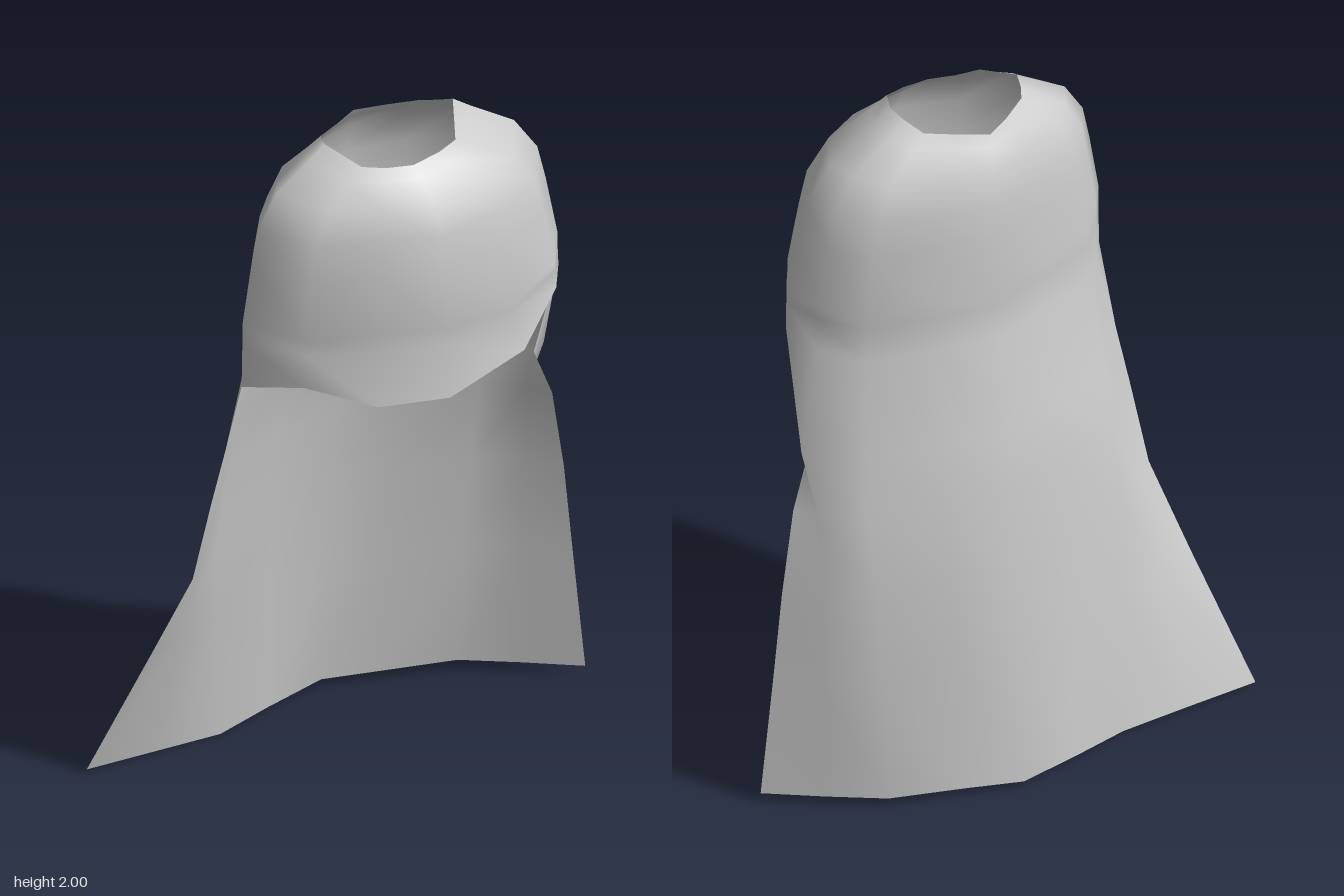
import * as THREE from 'three';

const COLS = 14; // columns run from the front centre, round by +x, to the back and home again

// neck opening: [x, z, y] per column
const neck = [
  [0.02, 0.21, 1.93], [0.10, 0.20, 1.94], [0.16, 0.18, 1.95], [0.21, 0.07, 2.0],
  [0.19, 0.03, 1.98], [0.16, -0.02, 1.96], [0.08, -0.055, 1.95], [0, -0.085, 1.94],
  [-0.07, -0.045, 1.94], [-0.14, 0, 1.95], [-0.155, 0.03, 1.96], [-0.165, 0.07, 1.97],
  [-0.11, 0.17, 1.94], [-0.05, 0.19, 1.93],
];
// lower edge of the shoulder mantle: [x, z, y] per column
const hem = [
  [0.05, 0.36, 1.29], [0.30, 0.30, 1.33], [0.44, 0.21, 1.43], [0.52, 0.07, 1.40],
  [0.47, -0.01, 1.36], [0.38, -0.11, 1.35], [0.20, -0.15, 1.35], [0.03, -0.18, 1.35],
  [-0.14, -0.13, 1.35], [-0.30, -0.07, 1.34], [-0.375, 0.02, 1.32], [-0.42, 0.09, 1.31],
  [-0.315, 0.24, 1.36], [-0.13, 0.30, 1.28],
];
// mantle profile: [how far from neck to hem outline, height]
const profile = [[0, 1.95], [0.18, 1.92], [0.58, 1.86], [0.8, 1.77], [0.88, 1.67], [0.99, 1.5]];

// cape cross-sections from the +x edge round the back to the -x edge
const FIRST = 3, LAST = 11;
const capeRows = [
  { y: 1.08, x: [0.50, 0.545, 0.41, 0.21, 0.04, -0.16, -0.31, -0.375, -0.43],
    z: [-0.03, -0.06, -0.17, -0.21, -0.25, -0.19, -0.13, -0.05, 0.02] },
  { y: 0.91, x: [0.575, 0.53, 0.43, 0.22, 0.045, -0.16, -0.32, -0.39, -0.455],
    z: [-0.07, -0.125, -0.2, -0.24, -0.275, -0.22, -0.165, -0.07, -0.01] },
  { y: 0.66, x: [0.62, 0.54, 0.42, 0.21, 0.05, -0.15, -0.34, -0.43, -0.49],
    z: [-0.09, -0.16, -0.235, -0.27, -0.305, -0.25, -0.19, -0.11, -0.05] },
  { y: 0.4, x: [0.645, 0.54, 0.41, 0.20, 0.05, -0.14, -0.32, -0.46, -0.565],
    z: [-0.09, -0.165, -0.245, -0.285, -0.33, -0.28, -0.225, -0.175, -0.14] },
  { y: 0, x: [0.68, 0.54, 0.40, 0.20, 0.05, -0.13, -0.29, -0.47, -0.685],
    z: [-0.085, -0.178, -0.265, -0.318, -0.36, -0.318, -0.275, -0.272, -0.27],
    lift: [0.03, 0.03, 0.03, 0.025, 0.02, 0.01, 0, 0.005, 0.01] },
];

const mix = THREE.MathUtils.lerp;

export function createModel() {
  const positions = [], mantleIndex = [], capeIndex = [];
  const quad = (index, a, b, c, d) => index.push(a, b, c, a, c, d);

  // mantle rings
  for (const [t, y] of profile) {
    for (let i = 0; i < COLS; i++) {
      positions.push(mix(neck[i][0], hem[i][0], t), y + (neck[i][2] - 1.95) * (1 - t), mix(neck[i][1], hem[i][1], t));
    }
  }
  // fold just above the hem, drawn in at the front
  for (let i = 0; i < COLS; i++) {
    const t = i < 2 || i === COLS - 1 ? 0.83 : 0.99;
    positions.push(mix(neck[i][0], hem[i][0], t), mix(1.5, hem[i][2], 0.3), mix(neck[i][1], hem[i][1], t));
  }
  for (const [x, z, y] of hem) positions.push(x, y, z);
  const hemRow = profile.length + 1;
  for (let r = 0; r < hemRow; r++) {
    for (let i = 0; i < COLS; i++) {
      const a = r * COLS + i, d = r * COLS + (i + 1) % COLS;
      quad(mantleIndex, a, a + COLS, d + COLS, d);
    }
  }

  // cape sheet hanging from the back columns of the mantle hem
  let above = hemRow * COLS + FIRST;
  for (const row of capeRows) {
    const start = positions.length / 3;
    row.x.forEach((x, i) => positions.push(x, row.y + (row.lift ? row.lift[i] : 0), row.z[i]));
    for (let i = 0; i < LAST - FIRST; i++) quad(capeIndex, above + i, start + i, start + i + 1, above + i + 1);
    above = start;
  }

  // shared normals keep the cloth smooth where the two parts meet
  const cloth = new THREE.BufferGeometry();
  cloth.setAttribute('position', new THREE.Float32BufferAttribute(positions, 3));
  cloth.setIndex([...mantleIndex, ...capeIndex]);
  cloth.computeVertexNormals();

  const material = new THREE.MeshStandardMaterial({ color: 0xcccccc, side: THREE.DoubleSide });
  const group = new THREE.Group();
  group.name = 'cloak';
  for (const [name, index] of [['shoulderMantle', mantleIndex], ['backCape', capeIndex]]) {
    const geometry = cloth.clone();
    geometry.setIndex(index);
    const mesh = new THREE.Mesh(geometry, material);
    mesh.name = name;
    group.add(mesh);
  }
  return group;
}
